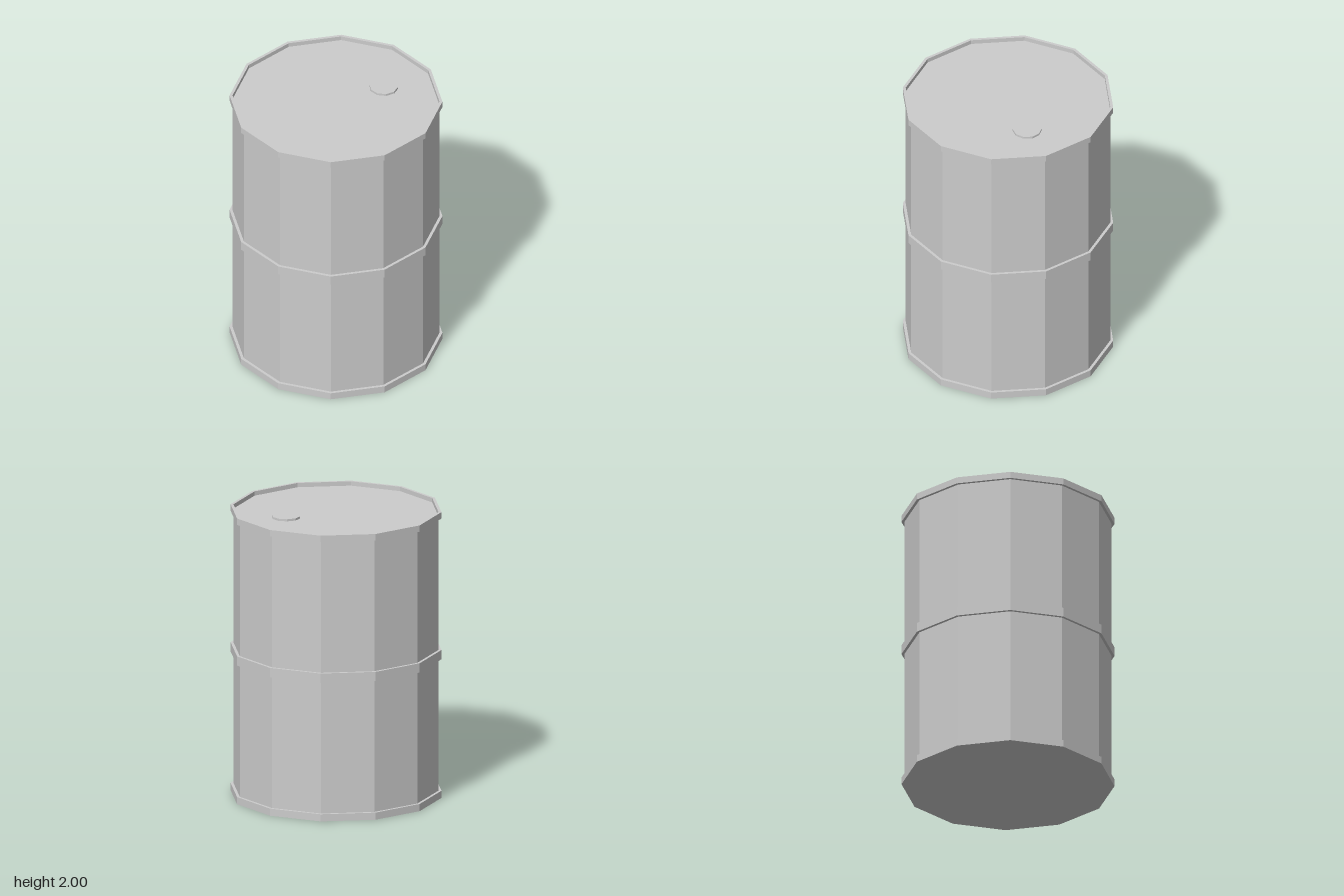
import * as THREE from 'three';

const SIDES = 12;
const BODY_RADIUS = 0.7;
const HOOP_RADIUS = 0.72;
const LID_Y = 1.97;

export function createModel() {
  const group = new THREE.Group();
  group.name = 'barrel';
  const material = new THREE.MeshStandardMaterial({ color: 0xcccccc, flatShading: true });

  const add = (name, geometry) => {
    const mesh = new THREE.Mesh(geometry, material);
    mesh.name = name;
    group.add(mesh);
    return mesh;
  };

  // Solid upright prism between two heights
  const prism = (radius, y0, y1, sides) =>
    new THREE.CylinderGeometry(radius, radius, y1 - y0, sides).translate(0, (y0 + y1) / 2, 0);

  // Faceted band with a rectangular section
  const hoop = (inner, y0, y1) =>
    new THREE.LatheGeometry(
      [[inner, y0], [HOOP_RADIUS, y0], [HOOP_RADIUS, y1], [inner, y1], [inner, y0]]
        .map(([r, y]) => new THREE.Vector2(r, y)),
      SIDES
    );

  // Drum wall, its top forming the recessed lid
  add('body', prism(BODY_RADIUS, 0.01, LID_Y, SIDES));

  // Closed base band, middle hoop and raised top rim
  add('bottomRim', prism(HOOP_RADIUS, 0, 0.05, SIDES));
  add('middleHoop', hoop(BODY_RADIUS - 0.01, 0.97, 1.035));
  add('topRim', hoop(BODY_RADIUS, 1.955, 2));

  // Filler cap on the lid
  const cap = add('fillerCap', prism(0.098, LID_Y - 0.01, LID_Y + 0.015, 10));
  cap.rotation.y = Math.PI / 2;
  cap.position.x = 0.363;

  return group;
}
